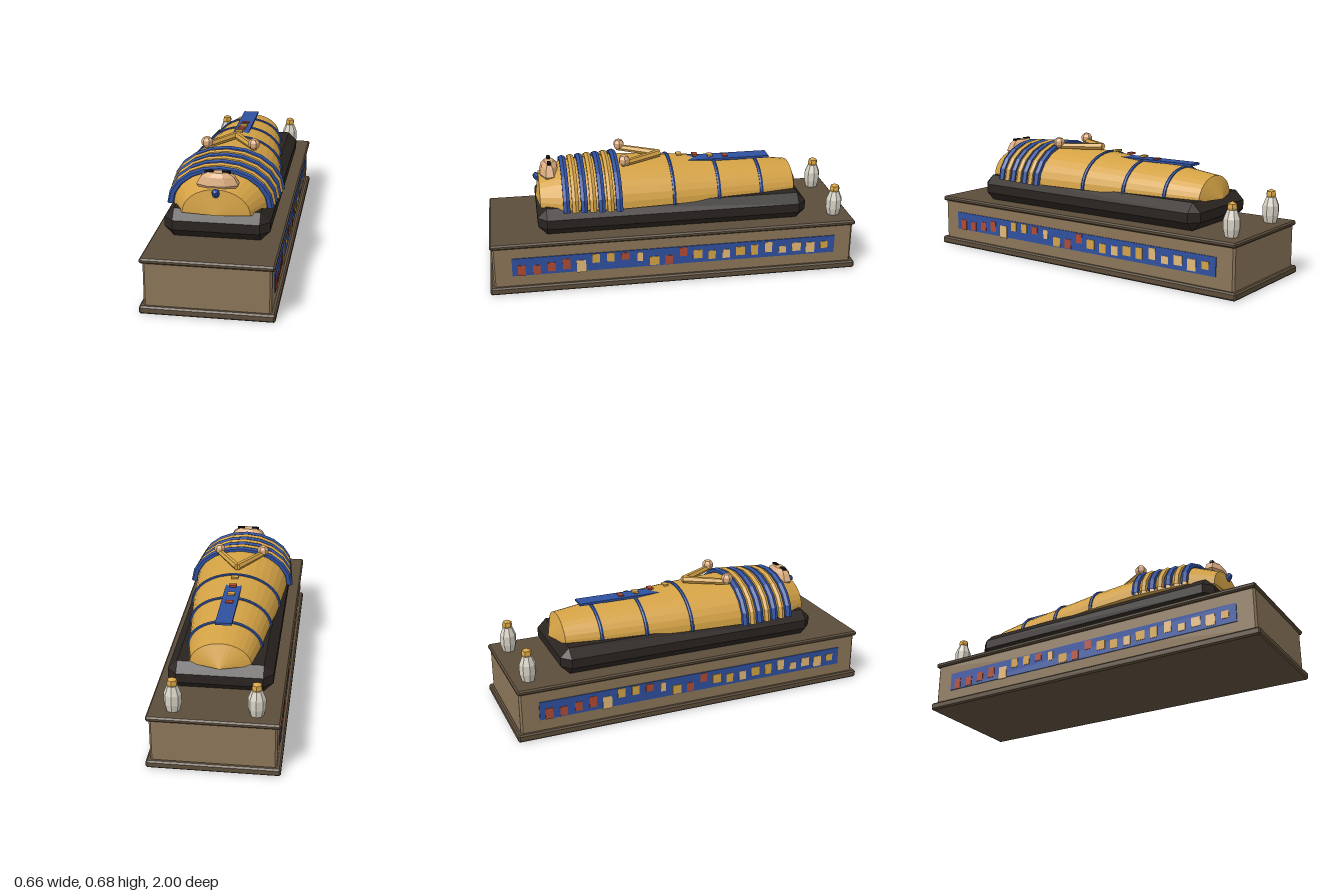
import * as THREE from 'three';
import { ConvexGeometry } from 'three/addons/geometries/ConvexGeometry.js';

const mat = (color) => new THREE.MeshStandardMaterial({ color, flatShading: true, side: THREE.DoubleSide });
const M = {
  stone: mat(0x8b7558), trim: mat(0x5c4d3b), gold: mat(0xd4a245), blue: mat(0x2f509f), skin: mat(0xd9aa7c),
  black: mat(0x2a2420), eye: mat(0x111111), jar: mat(0xd6d1c4), red: mat(0xb04a32), tan: mat(0xe2b877),
};

export function createModel() {
  const root = new THREE.Group();
  const add = (name, geometry, material, x = 0, y = 0, z = 0, parent = root) => {
    const mesh = new THREE.Mesh(geometry, material);
    mesh.name = name;
    mesh.position.set(x, y, z);
    parent.add(mesh);
    return mesh;
  };
  const box = (w, h, d) => new THREE.BoxGeometry(w, h, d);

  // Box with every edge and corner cut by c
  const chamferBox = (w, h, d, c) => {
    const pts = [];
    for (const sx of [-1, 1]) for (const sy of [-1, 1]) for (const sz of [-1, 1]) {
      const [x, y, z] = [w / 2, h / 2, d / 2];
      pts.push(
        new THREE.Vector3(sx * x, sy * (y - c), sz * (z - c)),
        new THREE.Vector3(sx * (x - c), sy * y, sz * (z - c)),
        new THREE.Vector3(sx * (x - c), sy * (y - c), sz * z));
    }
    return new ConvexGeometry(pts);
  };
  const lathe = (pts, sides) => new THREE.LatheGeometry(pts.map((p) => new THREE.Vector2(...p)), sides);

  // Plinth
  add('plinthFoot', chamferBox(0.66, 0.04, 2, 0.008), M.trim, 0, 0.02, 0);
  add('plinthBody', chamferBox(0.62, 0.24, 1.96, 0.01), M.stone, 0, 0.15, 0);
  add('plinthTop', chamferBox(0.65, 0.026, 1.98, 0.008), M.trim, 0, 0.272, 0);

  // Side friezes: colour, centre height, height and width of each tile
  const colours = 'rrrrtggrtgrrggtggttttg';
  const heights = [13, 13, 14, 15, 13, 17, 17, 17, 16, 13, 13, 17, 15, 14, 14, 15, 15, 16, 14, 15, 14, 15];
  const tall = [6, 5, 5, 6, 7, 5, 5, 4, 5, 5, 5, 5, 5, 5, 5, 5, 6, 6, 4, 5, 6, 4];
  const wide = [4, 4, 4, 4, 5, 4, 4, 4, 3, 5, 4, 4, 5, 4, 4, 5, 4, 4, 4, 5, 5, 4];
  const tileMat = { r: M.red, g: M.gold, t: M.tan };
  for (const side of ['left', 'right']) {
    const frieze = new THREE.Group();
    frieze.name = side + 'Frieze';
    add('friezePanel', box(0.01, 0.1, 1.76), M.blue, 0.31, 0.15, 0, frieze);
    heights.forEach((h, i) => add('friezeTile', box(0.006, tall[i] / 100, wide[i] / 100),
      tileMat[colours[i]], 0.315, h / 100, 0.83 - i * 0.0786, frieze));
    if (side === 'right') frieze.rotation.y = Math.PI;
    root.add(frieze);
  }

  // Bed under the coffin
  add('bed', chamferBox(0.53, 0.145, 1.46, 0.048), M.black, 0, 0.357, 0);

  // Coffin lid: half lathe along z, flattened in height
  const FLAT = 0.75, BASE = 0.42;
  const profile = [[0, -0.73], [0.155, -0.68], [0.185, -0.5], [0.212, -0.25], [0.24, 0],
    [0.262, 0.3], [0.238, 0.58], [0.17, 0.71], [0, 0.73]];
  const lid = new THREE.LatheGeometry(profile.map((p) => new THREE.Vector2(...p)), 16, Math.PI / 2, Math.PI);
  lid.rotateX(Math.PI / 2).scale(1, FLAT, 1);
  add('coffinLid', lid, M.gold, 0, BASE, 0);
  const outline = [...profile, ...profile.slice(1, -1).reverse().map(([r, z]) => [-r, z])];
  const under = new THREE.ShapeGeometry(new THREE.Shape(outline.map((p) => new THREE.Vector2(...p))));
  add('coffinUnderside', under.rotateX(Math.PI / 2), M.gold, 0, BASE, 0);

  // Arched bands: headdress stripes and body straps
  const arch = (name, r, tube, segments, material, z) =>
    add(name, new THREE.TorusGeometry(r, tube, 6, segments, Math.PI).scale(1, FLAT, 1), material, 0, BASE, z);
  for (let i = 0; i < 7; i++) {
    arch('headdressBand', 0.276 - i * 0.004, 0.02, 10, i % 2 ? M.gold : M.blue, 0.3 + i * 0.046);
  }
  [[0.242, 0], [0.214, -0.25], [0.188, -0.49]].forEach(([r, z]) => arch('bodyStrap', r, 0.01, 20, M.blue, z));

  // Face, eyes and beard
  const face = lathe([[0, 0.54], [0.09, 0.54], [0.107, 0.56], [0.085, 0.6], [0.05, 0.62], [0, 0.62]], 8);
  add('face', face.rotateY(Math.PI / 8).scale(1.05, 1, 0.52), M.skin, 0, 0, 0.65);
  for (const s of [-1, 1]) add(s > 0 ? 'leftEye' : 'rightEye', box(0.043, 0.01, 0.02), M.eye, s * 0.043, 0.62, 0.65);
  const beard = add('beard', new THREE.CapsuleGeometry(0.019, 0.02, 2, 8), M.blue, 0, 0.53, 0.715);
  beard.rotation.x = 0.7;

  // Crossed arms and hands
  for (const s of [-1, 1]) {
    const from = new THREE.Vector3(0, 0.625, 0.05), to = new THREE.Vector3(s * 0.13, 0.625, 0.265);
    const dir = to.clone().sub(from);
    const arm = add(s > 0 ? 'leftArm' : 'rightArm', new THREE.CylinderGeometry(0.017, 0.02, dir.length(), 6), M.gold);
    arm.position.copy(from).addScaledVector(dir, 0.5);
    arm.quaternion.setFromUnitVectors(new THREE.Vector3(0, 1, 0), dir.normalize());
    add(s > 0 ? 'leftHand' : 'rightHand', new THREE.SphereGeometry(0.032, 6, 5), M.skin, s * 0.124, 0.643, 0.255);
  }

  // Centre panel and its tiles
  add('centrePanel', box(0.085, 0.012, 0.46), M.blue, 0, 0.582, -0.33);
  [-0.06, -0.15, -0.235, -0.32].forEach((z, i) =>
    add('centreTile', box(0.04, 0.01, 0.028), i % 2 ? M.red : M.gold, 0, 0.613 - i * 0.008, z));

  // Lidded jars at the foot end
  for (const s of [-1, 1]) {
    const jar = new THREE.Group();
    jar.name = s > 0 ? 'leftJar' : 'rightJar';
    jar.position.set(s * 0.203, 0.285, -0.9);
    add('jarBody', lathe([[0, 0], [0.034, 0], [0.044, 0.04], [0.044, 0.09], [0.026, 0.135], [0, 0.135]], 8), M.jar, 0, 0, 0, jar);
    add('jarLid', lathe([[0, 0.13], [0.022, 0.13], [0.028, 0.145], [0.024, 0.165], [0, 0.177]], 6), M.gold, 0, 0, 0, jar);
    root.add(jar);
  }
  return root;
}
